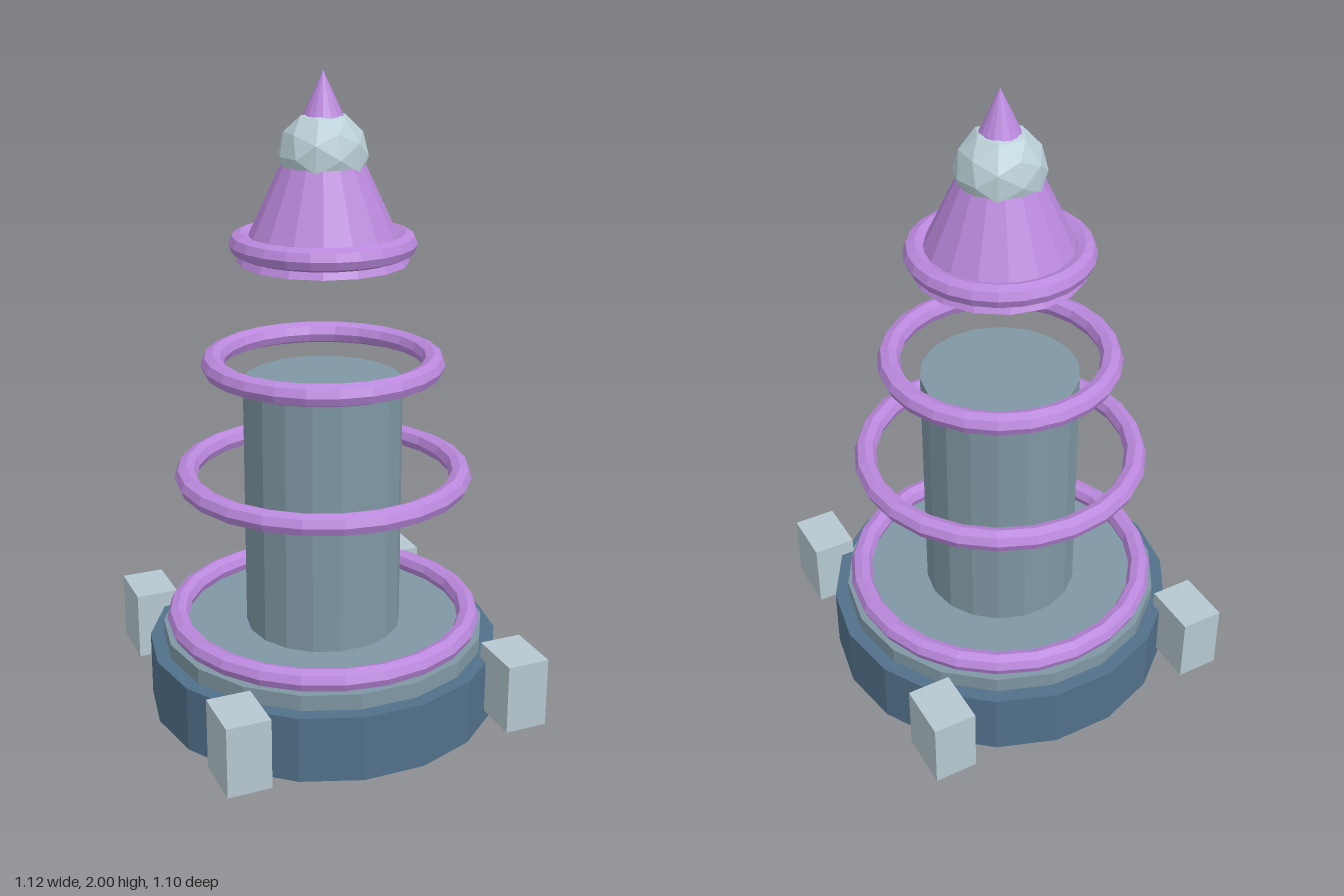
import * as THREE from 'three';

const mat = (name, color) => {
  const m = new THREE.MeshStandardMaterial({ color, flatShading: true });
  m.name = name;
  return m;
};

export function createModel() {
  const navy = mat('dark slate blue', 0x51708a);
  const slate = mat('slate grey', 0x7f97a3);
  const pale = mat('pale grey', 0xb6c8d0);
  const ice = mat('ice grey', 0xbad0d6);
  const purple = mat('purple', 0xba88dc);

  const model = new THREE.Group();
  model.name = 'ringTower';

  const add = (name, geometry, material, x, y, z) => {
    const mesh = new THREE.Mesh(geometry, material);
    mesh.name = name;
    mesh.position.set(x, y, z);
    model.add(mesh);
    return mesh;
  };

  // Upright 18-sided drum with a corner on the x axis
  const drum = (name, radius, y0, y1, material) => {
    const g = new THREE.CylinderGeometry(radius, radius, y1 - y0, 18);
    g.rotateY(Math.PI / 2);
    return add(name, g, material, 0, (y0 + y1) / 2, 0);
  };

  // Base, step and column
  drum('base', 0.56, 0, 0.21, navy);
  drum('step', 0.515, 0.2, 0.26, slate);
  drum('column', 0.247, 0.25, 1.07, slate);

  // Four blocks around the base
  for (const x of [-1, 1]) {
    for (const z of [-1, 1]) {
      add('cornerBlock', new THREE.BoxGeometry(0.136, 0.222, 0.178), pale, x * 0.452, 0.151, z * 0.452);
    }
  }

  // Floating rings, narrowing towards the top
  const rings = [[0.468, 0.287], [0.43, 0.765], [0.34, 1.125], [0.248, 1.496]];
  for (const [radius, y] of rings) {
    const g = new THREE.TorusGeometry(radius, 0.035, 8, 24);
    g.rotateX(Math.PI / 2);
    add('ring', g, purple, 0, y, 0);
  }

  // Spire with a faceted ball around it
  add('spire', new THREE.ConeGeometry(0.26, 0.56, 16), purple, 0, 1.72, 0);
  add('ball', new THREE.IcosahedronGeometry(0.135, 1), ice, 0, 1.756, 0);

  return model;
}
